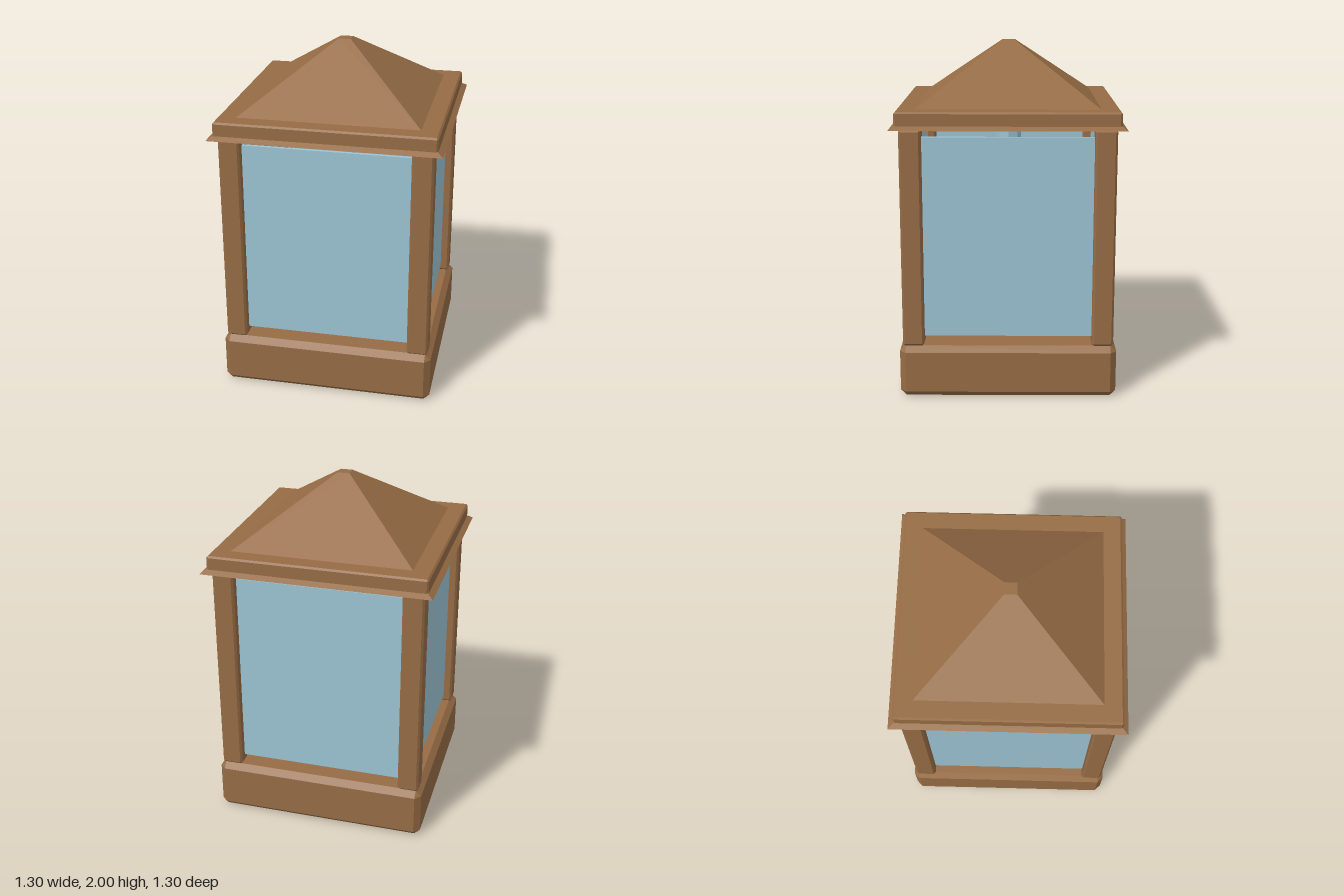
import * as THREE from 'three';
import { ConvexGeometry } from 'three/addons/geometries/ConvexGeometry.js';

// Box between y0 and y1 with square plan and flat chamfers on all edges
function chamferBox(half, y0, y1, c) {
  const h = (y1 - y0) / 2;
  const pts = [];
  for (const sx of [-1, 1]) for (const sy of [-1, 1]) for (const sz of [-1, 1]) {
    pts.push(
      new THREE.Vector3(sx * half, sy * (h - c), sz * (half - c)),
      new THREE.Vector3(sx * (half - c), sy * h, sz * (half - c)),
      new THREE.Vector3(sx * (half - c), sy * (h - c), sz * half));
  }
  return new ConvexGeometry(pts).translate(0, (y0 + y1) / 2, 0);
}

// Square frustum between y0 and y1
function frustum(half0, half1, y0, y1) {
  const pts = [];
  for (const sx of [-1, 1]) for (const sz of [-1, 1]) {
    pts.push(new THREE.Vector3(sx * half0, y0, sz * half0), new THREE.Vector3(sx * half1, y1, sz * half1));
  }
  return new ConvexGeometry(pts);
}

export function createModel() {
  const wood = new THREE.MeshStandardMaterial({ color: 0x966c45 });
  wood.name = 'wood';
  const glass = new THREE.MeshStandardMaterial({ color: 0x9cc4d4 });
  glass.name = 'glass';
  const cream = new THREE.MeshStandardMaterial({ color: 0xd2c284 });
  cream.name = 'cream';

  const model = new THREE.Group();
  model.name = 'lantern';
  const add = (name, geometry, material, x = 0, y = 0, z = 0) => {
    const mesh = new THREE.Mesh(geometry, material);
    mesh.name = name;
    mesh.position.set(x, y, z);
    model.add(mesh);
    return mesh;
  };

  // Plinth
  add('base', chamferBox(0.62, 0, 0.305, 0.034), wood);

  // Corner posts
  const post = chamferBox(0.061, 0.305, 1.553, 0.012);
  for (const x of [-0.54, 0.54]) for (const z of [-0.54, 0.54]) add('cornerPost', post, wood, x, 0, z);

  // Glass panes between the posts
  const pane = new THREE.BoxGeometry(1.0, 1.155, 0.02);
  for (let i = 0; i < 4; i++) {
    const a = i * Math.PI / 2;
    add('glassPane', pane, glass, Math.sin(a) * 0.54, 0.9275, Math.cos(a) * 0.54).rotation.y = a;
  }

  // Inner tray and lamp column
  add('tray', chamferBox(0.373, 0.305, 0.355, 0.012), cream);
  const column = new THREE.CylinderGeometry(0.073, 0.073, 1.175, 8).toNonIndexed();
  column.computeVertexNormals();
  add('lampColumn', column, glass, 0, 0.9375, 0);

  // Roof: flared eave, cap slab and pyramid
  add('eave', frustum(0.652, 0.612, 1.555, 1.582), wood);
  add('roofSlab', chamferBox(0.622, 1.562, 1.653, 0.01), wood);
  add('roofPyramid', frustum(0.515, 0.035, 1.653, 2.0), wood);

  return model;
}
